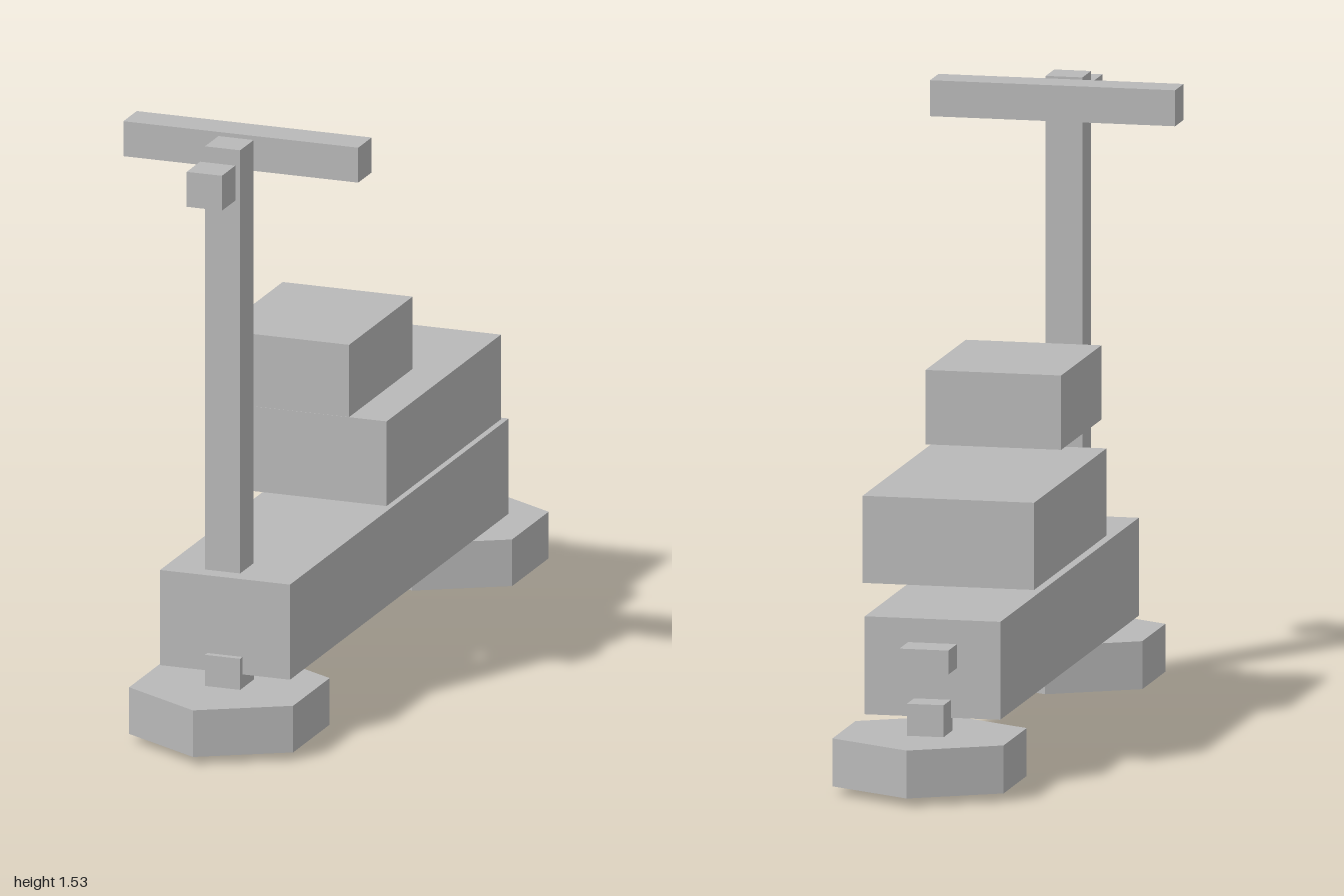
import * as THREE from 'three';

export function createModel() {
  const model = new THREE.Group();
  const grey = new THREE.MeshStandardMaterial({ color: 0xb8b8b8, flatShading: true, side: THREE.DoubleSide });
  grey.name = 'plain grey';

  // Box given by width and its y and z ranges, centred on x
  function box(name, width, y0, y1, z0, z1) {
    const mesh = new THREE.Mesh(new THREE.BoxGeometry(width, y1 - y0, z1 - z0), grey);
    mesh.position.set(0, (y0 + y1) / 2, (z0 + z1) / 2);
    mesh.name = name;
    model.add(mesh);
  }

  // Body and stacked seat
  box('body', 0.343, 0.175, 0.42, -0.718, 0.78);
  box('seat', 0.434, 0.472, 0.69, -0.547, 0.236);
  box('upperCushion', 0.343, 0.736, 0.922, -0.06, 0.375);
  box('tailLight', 0.124, 0.3, 0.36, -0.812, -0.718);

  // Steering column, handlebar and headlight
  box('steeringColumn', 0.093, 0.44, 1.53, 0.704, 0.797);
  box('handlebar', 0.62, 1.44, 1.53, 0.58, 0.672);
  box('headlight', 0.093, 1.41, 1.5, 0.83, 0.922);

  // Hexagonal wheels lying flat, open underneath, each on a short post
  const profile = [[0, 0.14], [0.25, 0.14], [0.25, 0.02]].map(([r, y]) => new THREE.Vector2(r, y)).reverse();
  const wheelGeometry = new THREE.LatheGeometry(profile, 6);
  for (const [side, z] of [['front', 0.75], ['rear', -0.75]]) {
    const wheel = new THREE.Mesh(wheelGeometry, grey);
    wheel.position.z = z;
    wheel.name = side + 'Wheel';
    model.add(wheel);
    box(side + 'WheelPost', 0.093, 0, 0.22, z - 0.047, z + 0.047);
  }
  return model;
}
